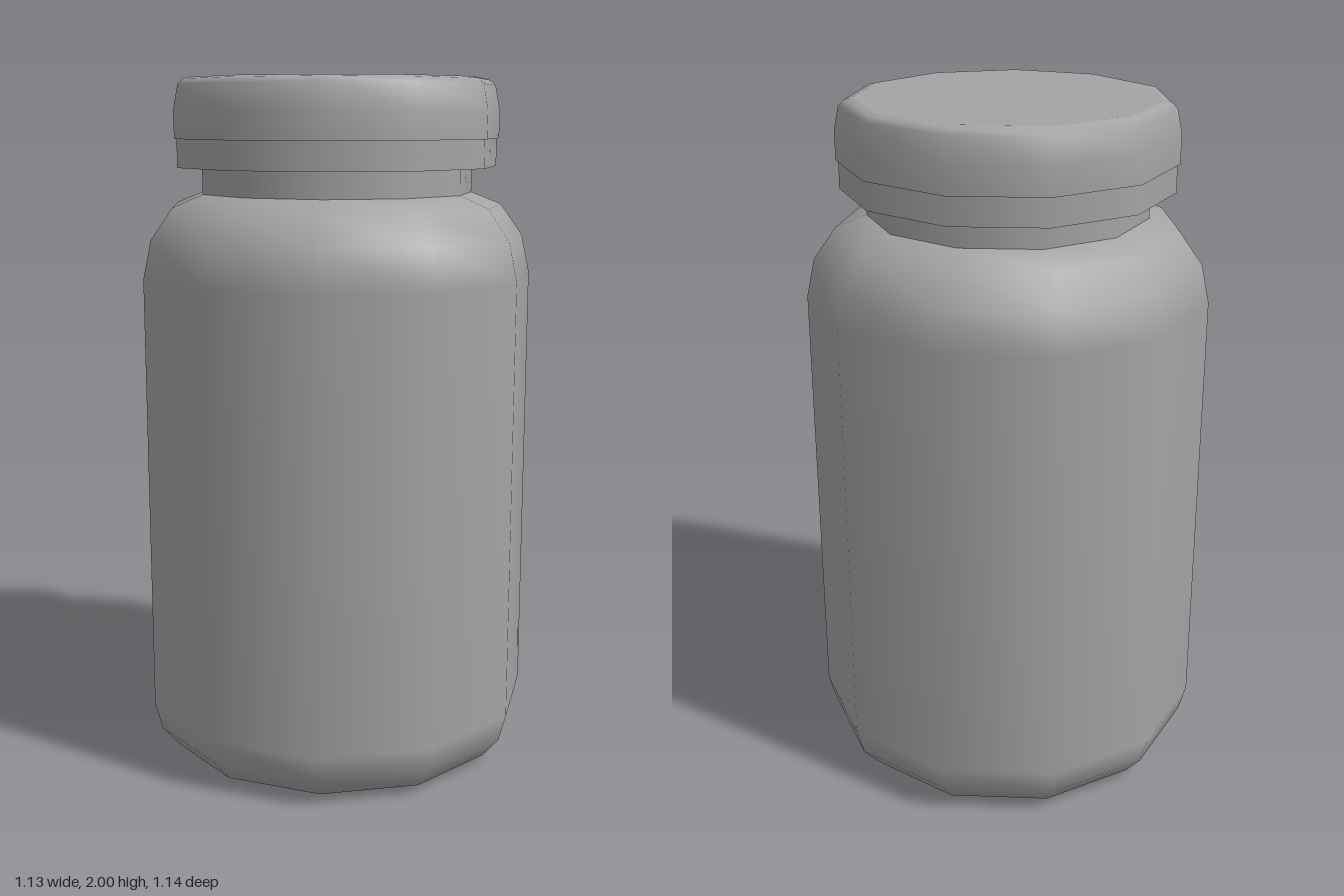
import * as THREE from 'three';

const SIDES = 11;

export function createModel() {
  const jar = new THREE.Group();
  jar.name = 'jar';
  const grey = new THREE.MeshStandardMaterial({ color: 0xa4a4a4 });
  grey.name = 'plain grey';

  // Turn a [radius, height] profile, listed from bottom to top, with a corner on +x
  function turn(name, profile, parent) {
    const points = profile.map(([r, y]) => new THREE.Vector2(r, y));
    const mesh = new THREE.Mesh(new THREE.LatheGeometry(points, SIDES, Math.PI / 2), grey);
    mesh.name = name;
    parent.add(mesh);
  }

  // Bottle: flat base, rounded body and neck
  const bottle = new THREE.Group();
  bottle.name = 'bottle';
  turn('base', [[0, 0], [0.455, 0]], bottle);
  turn('body', [
    [0.455, 0], [0.505, 0.02], [0.555, 0.08], [0.577, 0.16],
    [0.577, 1.44], [0.553, 1.55], [0.488, 1.64], [0.4, 1.675],
  ], bottle);
  turn('neck', [[0.4, 1.67], [0.4, 1.76]], bottle);

  // Cap: tamper band, step, rounded lid and flat top
  const cap = new THREE.Group();
  cap.name = 'cap';
  turn('bandUnderside', [[0.39, 1.75], [0.472, 1.75]], cap);
  turn('band', [[0.472, 1.75], [0.472, 1.83]], cap);
  turn('lidStep', [[0.46, 1.83], [0.479, 1.83]], cap);
  turn('lidSide', [
    [0.479, 1.83], [0.48, 1.91], [0.466, 1.98], [0.45, 1.995], [0.43, 2],
  ], cap);
  turn('lidTop', [[0.43, 2], [0, 2]], cap);

  // An odd number of sides needs a small shift to sit centred
  bottle.position.x = cap.position.x = -0.012;
  jar.add(bottle, cap);
  return jar;
}
